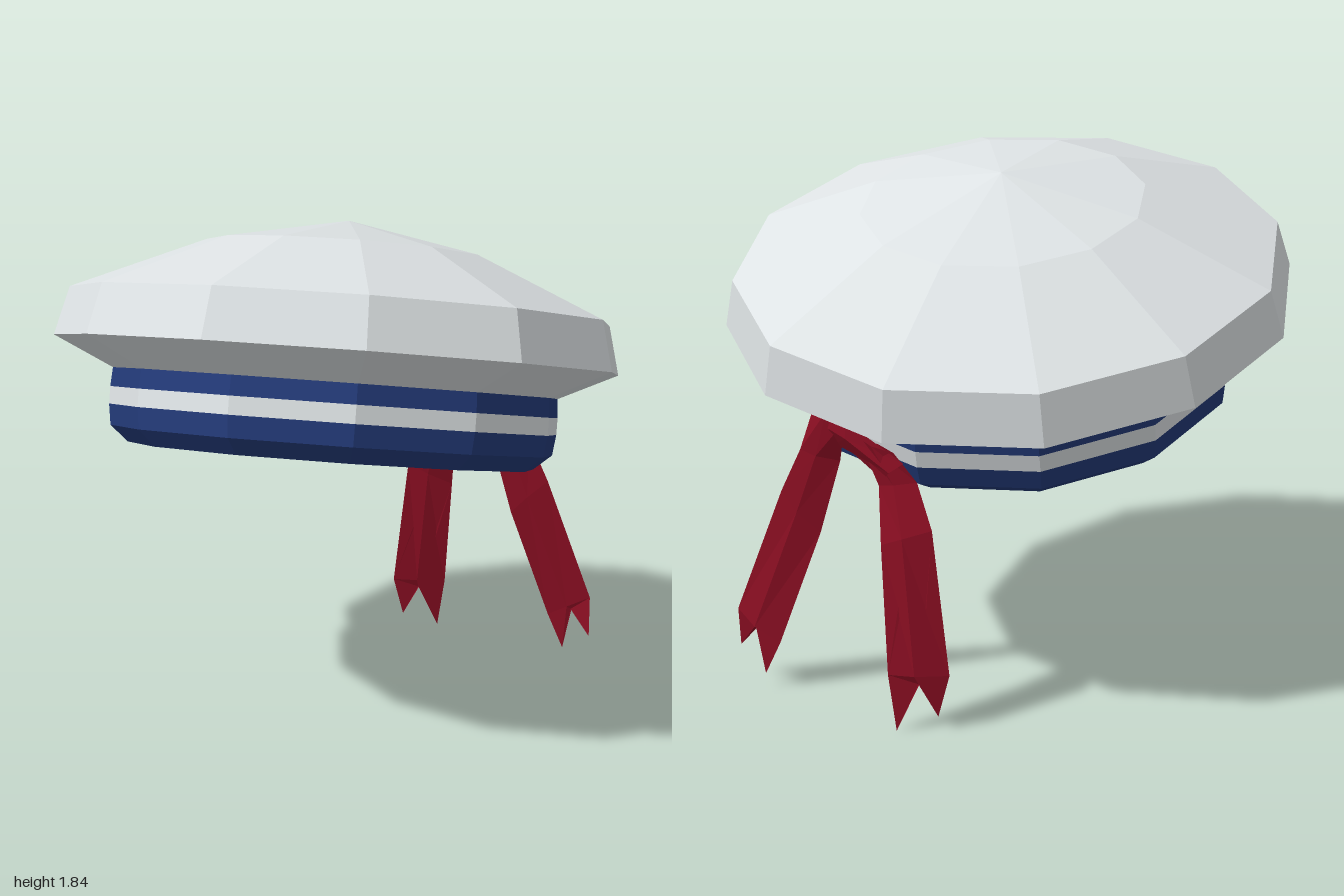
import * as THREE from 'three';

const SIDES = 12;
const PHASE = THREE.MathUtils.degToRad(24);

const paint = (name, color) =>
  new THREE.MeshStandardMaterial({ name, color, flatShading: true, side: THREE.DoubleSide });

// Faceted ring of cloth from [radius, height] pairs, listed bottom to top
function ring(name, profile, material) {
  const points = profile.map(([r, h]) => new THREE.Vector2(r, h));
  const mesh = new THREE.Mesh(new THREE.LatheGeometry(points, SIDES, PHASE, Math.PI * 2), material);
  mesh.name = name;
  return mesh;
}

// Folded ribbon: each row has two edges and an optional middle point,
// joined through a slim diamond cross-section
function ribbon(name, rows, material) {
  const positions = [];
  const index = [];
  rows.forEach(([a, b, mid]) => {
    const m = mid || a.map((v, i) => (v + b[i]) / 2);
    const t = mid ? 0.004 : 0.02;
    positions.push(...a, m[0], m[1], m[2] - t, ...b, m[0], m[1], m[2] + t * 0.6);
  });
  for (let r = 0; r < rows.length - 1; r++) {
    for (let k = 0; k < 4; k++) {
      const p = r * 4 + k;
      const q = r * 4 + ((k + 1) % 4);
      index.push(p, q, p + 4, q, q + 4, p + 4);
    }
  }
  const geometry = new THREE.BufferGeometry();
  geometry.setAttribute('position', new THREE.Float32BufferAttribute(positions, 3));
  geometry.setIndex(index);
  geometry.computeVertexNormals();
  const mesh = new THREE.Mesh(geometry, material);
  mesh.name = name;
  return mesh;
}

export function createModel() {
  const white = paint('white cloth', 0xdde2e4);
  const blue = paint('navy blue', 0x233a78);
  const teal = paint('dark teal lining', 0x0a1e26);
  const black = paint('black interior', 0x060606);
  const red = paint('red ribbon', 0x8a0e22);

  const model = new THREE.Group();
  model.name = 'sailorHat';

  // Tilted hat body
  const hat = new THREE.Group();
  hat.name = 'hat';
  hat.position.set(0, 1.34, 0);
  hat.quaternion.setFromUnitVectors(
    new THREE.Vector3(0, 1, 0),
    new THREE.Vector3(-0.162, 1, -0.234).normalize()
  );
  hat.add(
    ring('crown', [[0.78, -0.11], [1.015, 0], [0.97, 0.174], [0.5, 0.377], [0, 0.48]], white),
    ring('bandTop', [[0.805, -0.168], [0.80, -0.1], [0.76, -0.1]], blue),
    ring('bandStripe', [[0.805, -0.23], [0.805, -0.168]], white),
    ring('bandBottom', [[0.62, -0.31], [0.73, -0.36], [0.795, -0.305], [0.805, -0.23]], blue),
    ring('lining', [[0.54, -0.275], [0.62, -0.31]], teal),
    ring('interior', [[0, -0.2], [0.54, -0.275]], black)
  );
  model.add(hat);

  // Ribbon at the back: a cross piece and two notched tails
  const tails = new THREE.Group();
  tails.name = 'ribbon';
  tails.add(
    ribbon('ribbonKnot', [
      [[0.11, 1.07, -0.79], [0.04, 0.93, -0.76]],
      [[-0.06, 1.04, -0.79], [-0.06, 0.92, -0.76]],
      [[-0.28, 0.93, -0.72], [-0.18, 0.85, -0.73]],
    ], red),
    ribbon('ribbonTailLeft', [
      [[0.11, 1.07, -0.79], [-0.03, 1.03, -0.77]],
      [[0.15, 0.90, -0.83], [0.03, 0.87, -0.75]],
      [[0.22, 0.74, -0.865], [0.10, 0.60, -0.79]],
      [[0.37, 0.28, -0.965], [0.21, 0.18, -0.90]],
      [[0.39, 0.13, -0.945], [0.27, 0.05, -0.925], [0.30, 0.22, -0.935]],
    ], red),
    ribbon('ribbonTailRight', [
      [[-0.24, 0.96, -0.73], [-0.10, 0.99, -0.77]],
      [[-0.30, 0.86, -0.68], [-0.17, 0.83, -0.74]],
      [[-0.375, 0.71, -0.68], [-0.22, 0.64, -0.775]],
      [[-0.435, 0.20, -0.66], [-0.29, 0.20, -0.81]],
      [[-0.41, 0.05, -0.69], [-0.32, 0.0, -0.80], [-0.365, 0.17, -0.735]],
    ], red)
  );
  model.add(tails);

  return model;
}
